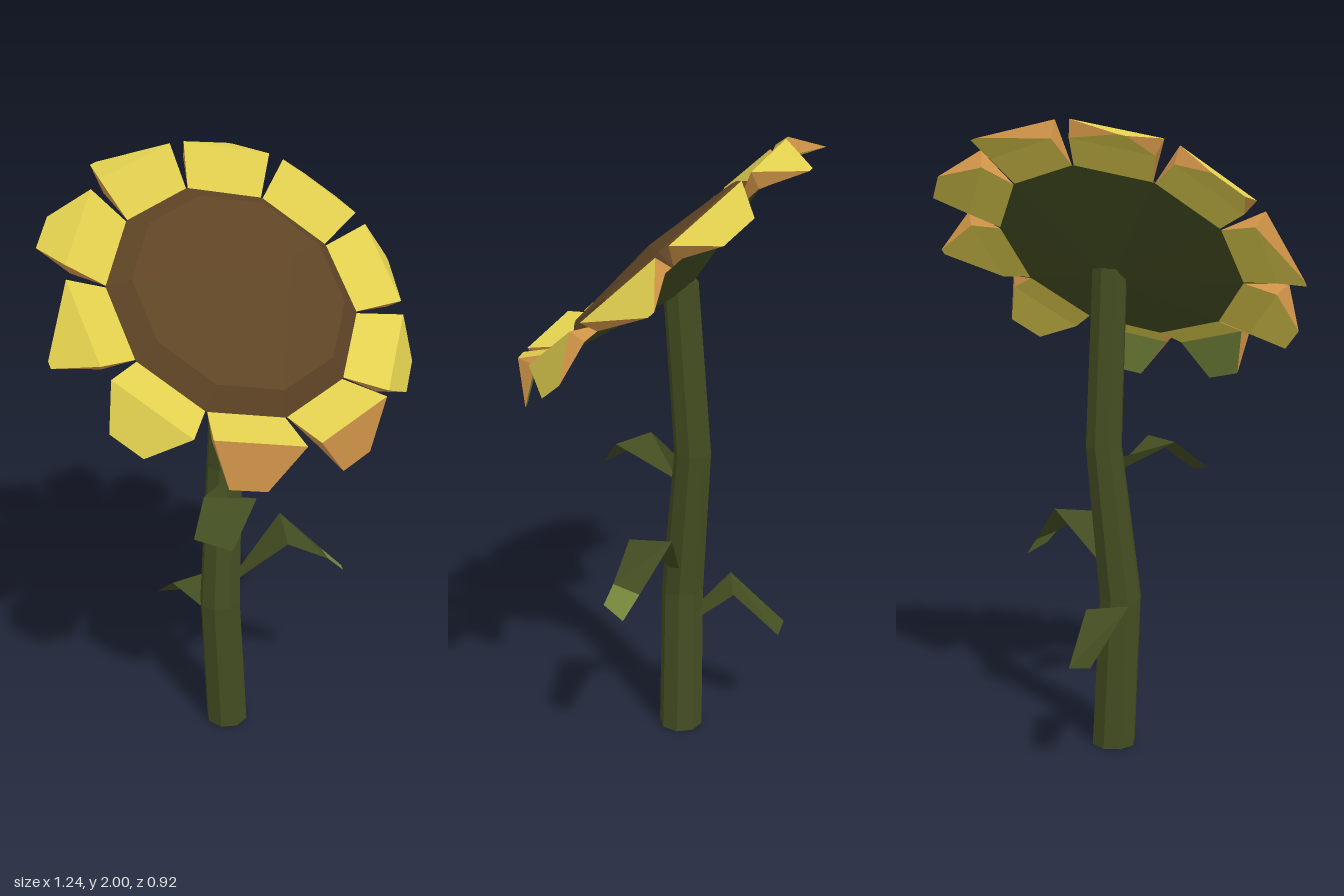
import * as THREE from 'three';

const mat = (name, color) =>
  new THREE.MeshStandardMaterial({ name, color, side: THREE.DoubleSide, flatShading: true });

// Ribbon through rows of [leftPoint, rightPoint]; faces up when it runs along +z
function ribbon(rows) {
  const pts = [];
  for (let i = 0; i < rows.length - 1; i++) {
    const [l0, r0] = rows[i], [l1, r1] = rows[i + 1];
    pts.push(...l0, ...l1, ...r0, ...r0, ...l1, ...r1);
  }
  const g = new THREE.BufferGeometry();
  g.setAttribute('position', new THREE.Float32BufferAttribute(pts, 3));
  g.computeVertexNormals();
  return g;
}

export function createModel() {
  const stemGreen = mat('stem green', 0x434d21);
  const lightGreen = mat('light green', 0x75863b);
  const yellow = mat('petal yellow', 0xe3d14f);
  const orange = mat('petal orange', 0xd99a4b);
  const brown = mat('seed brown', 0x5e4425);

  const model = new THREE.Group();
  model.name = 'flower';
  const add = (parent, name, geometry, material) => {
    const m = new THREE.Mesh(geometry, material);
    m.name = name;
    parent.add(m);
    return m;
  };

  // Crooked stem: cylinder rows moved onto [x, y, z, radius] sections
  const sections = [
    [-0.015, 0, -0.052, 0.073],
    [-0.04, 0.5, -0.052, 0.07],
    [0.0, 1.0, -0.09, 0.06],
    [0.0, 1.56, -0.048, 0.057],
  ];
  const stem = new THREE.CylinderGeometry(1, 1, 1, 8, sections.length - 1);
  const p = stem.attributes.position;
  for (let i = 0; i < p.count; i++) {
    const [x, y, z, r] = sections[Math.round((p.getY(i) + 0.5) * (sections.length - 1))];
    p.setXYZ(i, x + p.getX(i) * r, y, z + p.getZ(i) * r);
  }
  stem.computeVertexNormals();
  add(model, 'stem', stem, stemGreen);

  // Folded leaves: base, fold, tip
  add(model, 'leftLeaf', ribbon([
    [[0.0, 0.6, 0.0], [-0.01, 0.56, -0.05]],
    [[0.14, 0.74, 0.09], [0.2, 0.77, -0.06]],
    [[0.29, 0.65, 0.11], [0.32, 0.635, 0.02]],
  ]), stemGreen);
  add(model, 'leftLeafTip', ribbon([
    [[0.29, 0.65, 0.11], [0.32, 0.635, 0.02]],
    [[0.34, 0.6, 0.13], [0.38, 0.57, 0.06]],
  ]), lightGreen);
  add(model, 'rightLeaf', ribbon([
    [[-0.04, 0.96, -0.04], [0.0, 0.9, -0.04]],
    [[-0.17, 1.0, 0.08], [-0.03, 1.0, 0.17]],
    [[-0.25, 0.91, 0.16], [-0.16, 0.885, 0.245]],
  ]), stemGreen);
  add(model, 'backLeaf', ribbon([
    [[0.0, 0.4, -0.1], [-0.06, 0.43, -0.1]],
    [[-0.01, 0.5, -0.23], [-0.145, 0.52, -0.2]],
    [[-0.03, 0.355, -0.38], [-0.11, 0.37, -0.39]],
  ]), stemGreen);

  // Tilted head, built around its own +y axis
  const head = new THREE.Group();
  head.name = 'head';
  head.position.set(-0.01, 1.6, 0);
  head.rotation.x = 0.73;
  model.add(head);

  const R = 0.405, N = 10;
  add(head, 'headUnderside', new THREE.CylinderGeometry(R, 0, 0.1, N, 1, true), stemGreen)
    .position.y = -0.05;
  add(head, 'seedRim', new THREE.CylinderGeometry(0.34, R, 0.056, N, 1, true), brown)
    .position.y = 0.028;
  // Shallow seed dome with an off-centre peak
  const dome = new THREE.CylinderGeometry(0, 0.34, 0.03, N, 1, true);
  const d = dome.attributes.position;
  for (let i = 0; i < d.count; i++) if (d.getY(i) > 0) d.setXYZ(i, 0.19, d.getY(i), -0.06);
  dome.computeVertexNormals();
  add(head, 'seedDome', dome, brown).position.y = 0.071;

  // Petals: thin wedges that flare to a fold, then curl down to a blunt or skewed tip
  const row = (w, h, r, shift = 0) => [[shift - w, h, r], [shift + w, h, r]];
  const base = row(0.122, 0, 0.385);
  const skew = [0, 0, 0.06, 0, -0.055, 0.055, 0, 0.06, 0, 0];
  for (let i = 0; i < N; i++) {
    const low = i === 0 || i === N - 1;
    const foldHeight = low ? 0.09 : 0.055;
    const fold = row(0.143, foldHeight, 0.518);
    const under = row(0.13, foldHeight - 0.05, 0.495);
    const tip = skew[i] ? row(0.012, -0.05, 0.618, skew[i]) : row(0.06, -0.04, 0.61);

    const petal = new THREE.Group();
    petal.name = 'petal' + (i + 1);
    petal.rotation.y = (i + 0.5) * 2 * Math.PI / N;
    head.add(petal);
    add(petal, 'petalBase', ribbon([base, fold]), yellow);
    add(petal, 'petalTip', ribbon([fold, tip]), low ? orange : yellow);
    add(petal, 'petalBaseUnderside', ribbon([base, under]), yellow);
    add(petal, 'petalTipUnderside', ribbon([under, tip]), low ? lightGreen : yellow);
    for (const s of [0, 1]) {
      add(petal, 'petalSide', ribbon([[base[s], fold[s]], [under[s], tip[s]]]), orange);
    }
  }
  return model;
}
